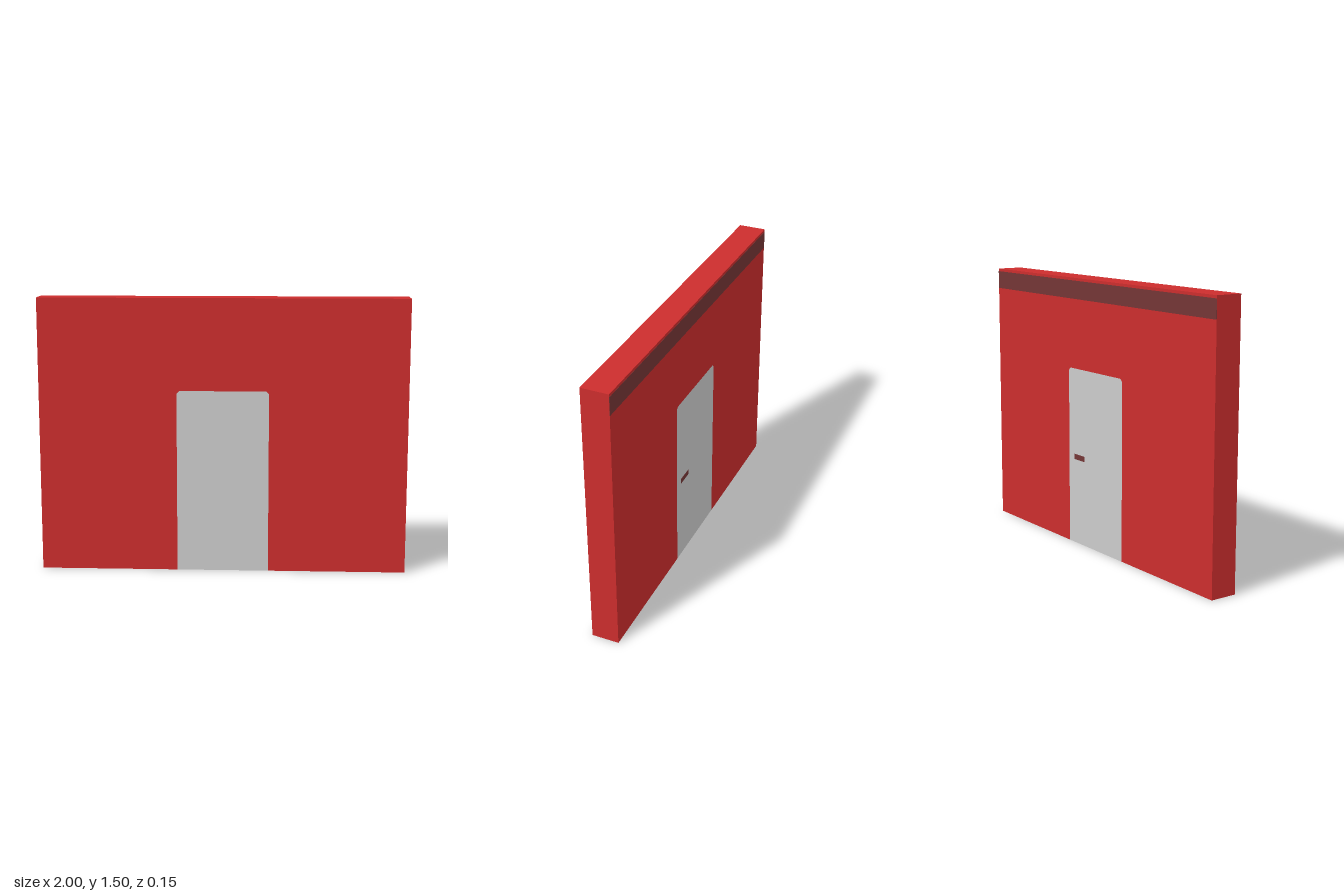
import * as THREE from 'three';

const W = 2, H = 1.5, D = 0.15;
const DOOR_W = 0.5, DOOR_H = 1, CORNER = 0.015;

function material(name, color) {
  const m = new THREE.MeshStandardMaterial({ color });
  m.name = name;
  return m;
}

// Door outline, up the left side, across the softened top, down the right
function doorPoints() {
  const x = DOOR_W / 2;
  return [
    [-x, 0], [-x, DOOR_H - CORNER], [-x + CORNER, DOOR_H],
    [x - CORNER, DOOR_H], [x, DOOR_H - CORNER], [x, 0],
  ].map(([px, py]) => new THREE.Vector2(px, py));
}

// Extrude an outline through the full wall thickness
function slab(name, points, mat) {
  const geo = new THREE.ExtrudeGeometry(new THREE.Shape(points), { depth: D, bevelEnabled: false });
  geo.translate(0, 0, -D / 2);
  const mesh = new THREE.Mesh(geo, mat);
  mesh.name = name;
  return mesh;
}

// Thin painted plate on the back face
function backPlate(name, w, h, x, y, mat) {
  const mesh = new THREE.Mesh(new THREE.BoxGeometry(w, h, 0.002), mat);
  mesh.position.set(x, y, -D / 2);
  mesh.name = name;
  return mesh;
}

export function createModel() {
  const red = material('wall red', 0xcc2d2d);
  const grey = material('door grey', 0xcccccc);
  const dark = material('dark trim', 0x743636);

  const group = new THREE.Group();
  group.name = 'doorWall';

  // Wall with the doorway notched out of its lower edge
  const wallOutline = [
    new THREE.Vector2(-W / 2, 0), ...doorPoints(), new THREE.Vector2(W / 2, 0),
    new THREE.Vector2(W / 2, H), new THREE.Vector2(-W / 2, H),
  ];
  group.add(slab('wall', wallOutline, red));

  // Door filling the opening, flush on both sides
  group.add(slab('door', doorPoints(), grey));

  // Trim stripe and door handle on the back
  group.add(backPlate('topStripe', W, 0.1, 0, 1.435, dark));
  group.add(backPlate('doorHandle', 0.1, 0.03, 0.15, 0.5, dark));
  return group;
}
